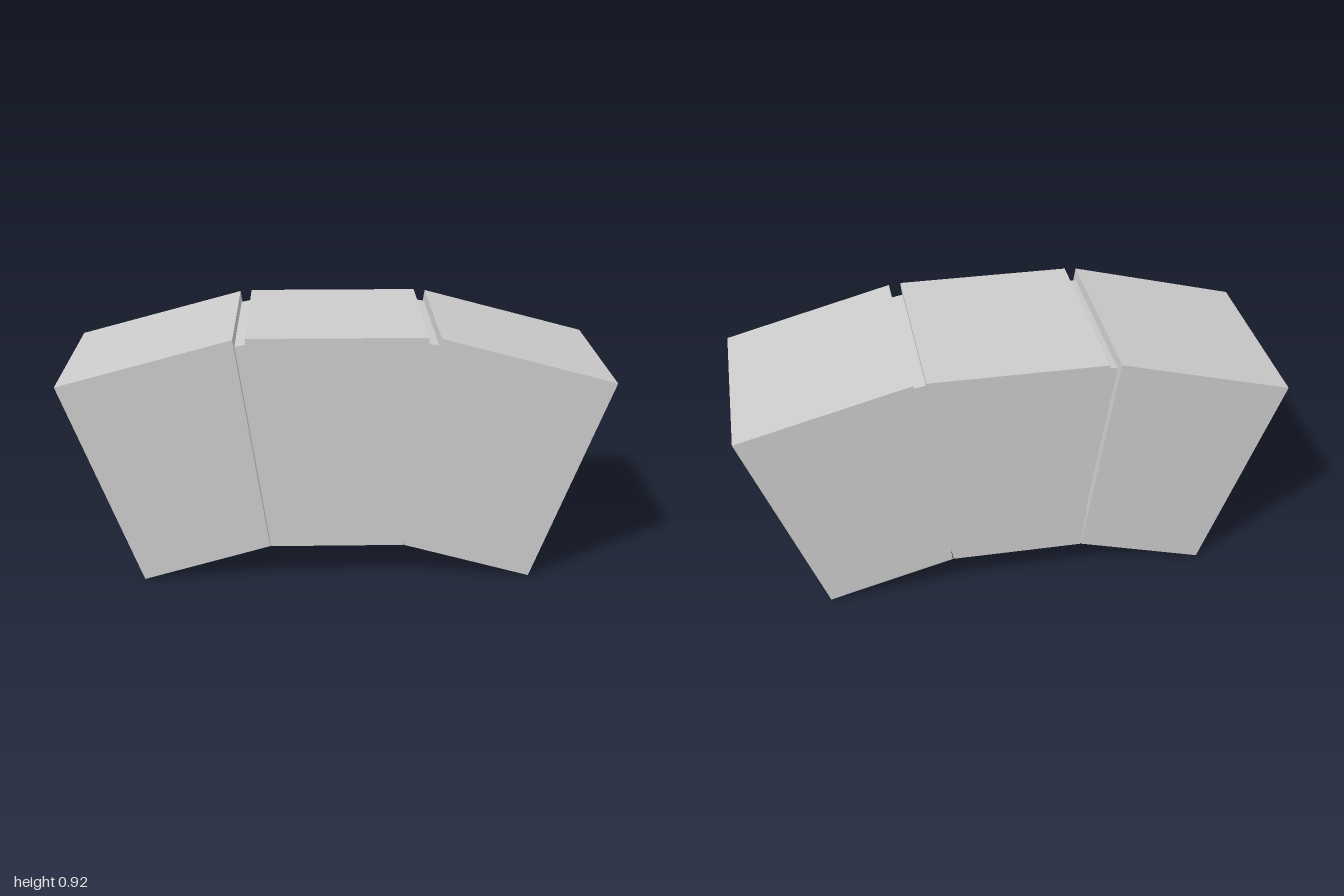
import * as THREE from 'three';

// Straight block from a front outline, centred on z = 0
function block(name, points, depth, material) {
  const shape = new THREE.Shape(points.map(([x, y]) => new THREE.Vector2(x, y)));
  const geometry = new THREE.ExtrudeGeometry(shape, { depth, bevelEnabled: false });
  geometry.translate(0, 0, -depth / 2);
  const mesh = new THREE.Mesh(geometry, material);
  mesh.name = name;
  return mesh;
}

export function createModel() {
  const group = new THREE.Group();
  group.name = 'archSegment';
  const stone = new THREE.MeshStandardMaterial({ color: 0xcccccc, flatShading: true });
  const depth = 0.726;
  const mortarDepth = 0.652;

  // Central wedge stone
  group.add(block('keystone',
    [[-0.245, 0.13], [0.245, 0.13], [0.324, 0.922], [-0.324, 0.922]], depth, stone));

  for (const [side, s] of [['left', 1], ['right', -1]]) {
    const mirror = (points) => points.map(([x, y]) => [x * s, y]);

    // Tilted wedge stone
    group.add(block(side + 'Stone', mirror(
      [[0.247, 0.13], [0.712, 0.002], [1, 0.749], [0.368, 0.918]]), depth, stone));

    // Recessed mortar filling the tapering joint
    group.add(block(side + 'Mortar', mirror(
      [[0.245, 0.135], [0.248, 0.135], [0.363, 0.883], [0.321, 0.891]]), mortarDepth, stone));
  }
  return group;
}
